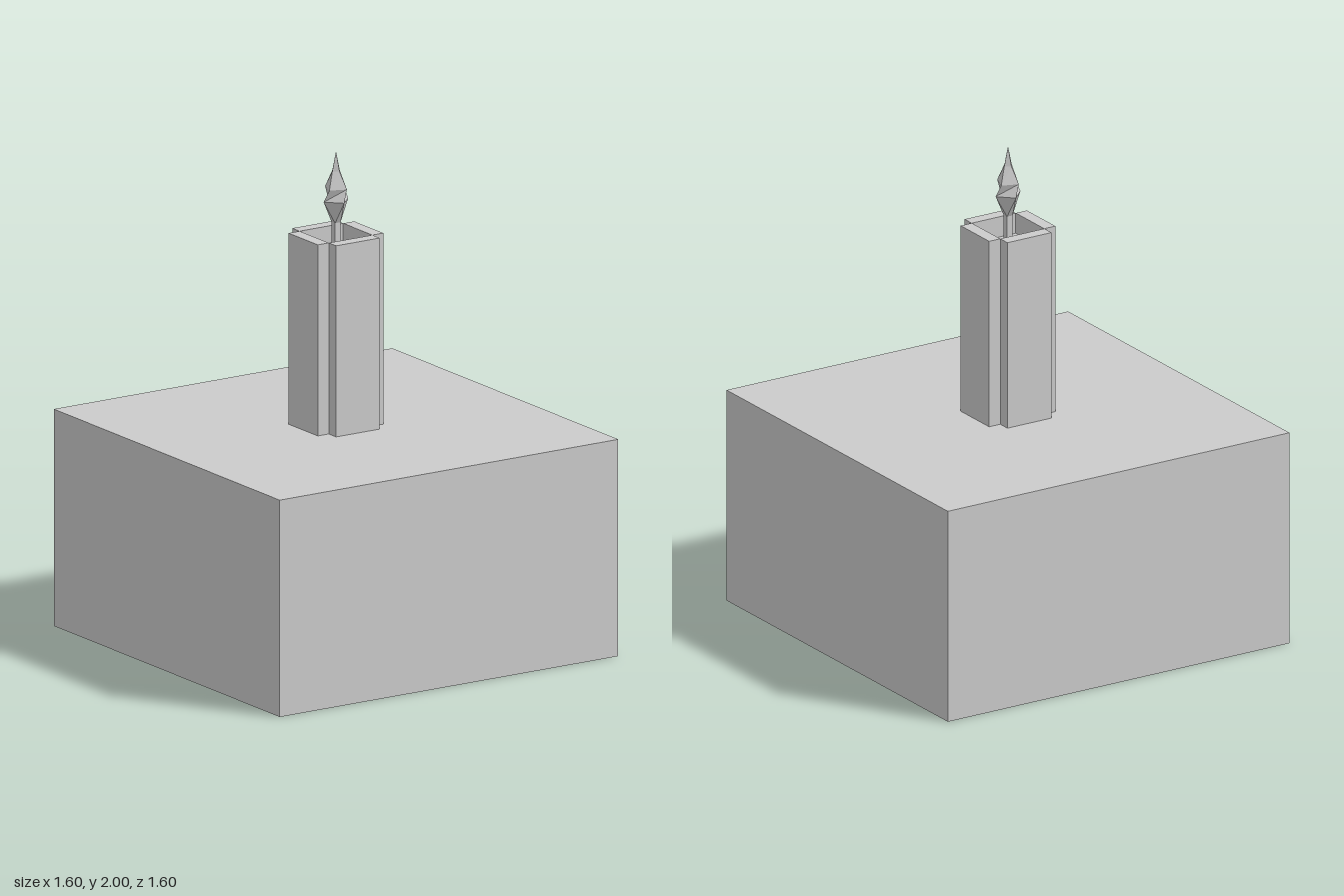
import * as THREE from 'three';

const material = new THREE.MeshStandardMaterial({
  color: 0xcccccc, flatShading: true, side: THREE.DoubleSide,
});

function addBox(parent, name, size, position) {
  const mesh = new THREE.Mesh(new THREE.BoxGeometry(...size), material);
  mesh.name = name;
  mesh.position.set(...position);
  parent.add(mesh);
  return mesh;
}

// Four-sided flame: rings of [height, radius, twist in degrees]
function flameGeometry() {
  const rings = [
    [1.71, 0.018, 45], [1.80, 0.058, 0], [1.85, 0.05, 25],
    [1.92, 0.02, 10], [2.0, 0, 0],
  ];
  const positions = [];
  const index = [];
  rings.forEach(([y, r, twist], i) => {
    for (let k = 0; k < 4; k++) {
      const a = THREE.MathUtils.degToRad(twist + k * 90);
      positions.push(r * Math.sin(a), y, r * Math.cos(a));
      if (i === 0) continue;
      const a0 = (i - 1) * 4 + k, b0 = (i - 1) * 4 + (k + 1) % 4;
      index.push(a0, b0, b0 + 4);
      if (r > 0) index.push(a0, b0 + 4, a0 + 4);
    }
  });
  index.push(0, 2, 1, 0, 3, 2); // underside
  const geometry = new THREE.BufferGeometry();
  geometry.setAttribute('position', new THREE.Float32BufferAttribute(positions, 3));
  geometry.setIndex(index);
  const flat = geometry.toNonIndexed();
  flat.computeVertexNormals();
  return flat;
}

export function createModel() {
  const model = new THREE.Group();
  model.name = 'candleOnBlock';

  // Square block
  const baseTop = 0.885, rim = 1.665;
  addBox(model, 'base', [1.6, baseTop, 1.6], [0, baseTop / 2, 0]);

  // Candle: four slabs around a recessed core
  const candle = new THREE.Group();
  candle.name = 'candle';
  model.add(candle);
  const height = rim - baseTop;
  for (let k = 0; k < 4; k++) {
    const a = k * Math.PI / 2;
    const wall = addBox(candle, 'candleWall', [0.206, height, 0.052],
      [0.129 * Math.sin(a), baseTop + height / 2, 0.129 * Math.cos(a)]);
    wall.rotation.y = a;
  }
  const coreTop = 1.58;
  addBox(candle, 'candleCore', [0.206, coreTop - baseTop, 0.206],
    [0, (coreTop + baseTop) / 2, 0]);

  // Wick and flame
  addBox(model, 'wick', [0.026, 0.17, 0.026], [0, 1.64, 0]);
  const flame = new THREE.Mesh(flameGeometry(), material);
  flame.name = 'flame';
  model.add(flame);

  return model;
}
